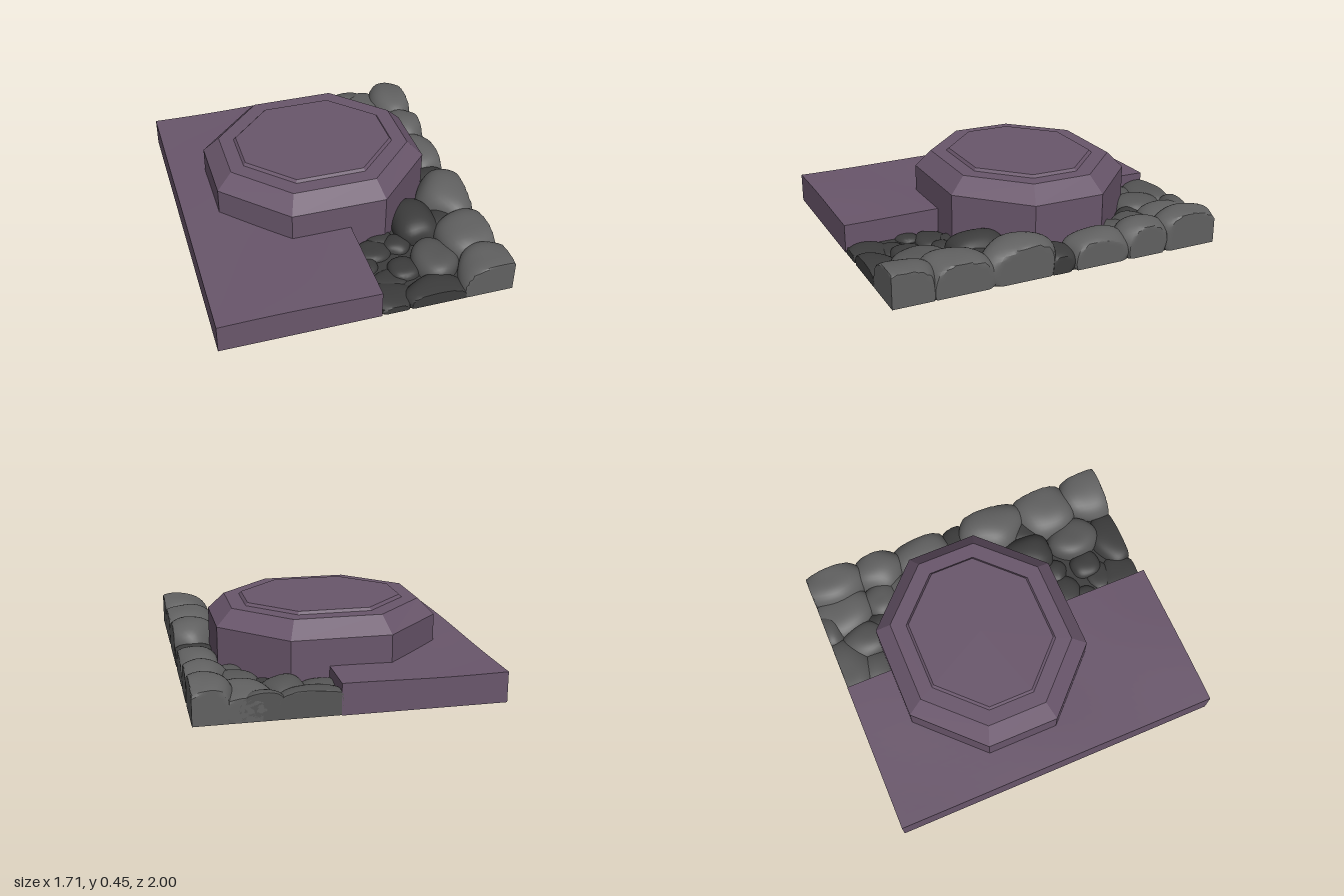
import * as THREE from 'three';
import { toCreasedNormals } from 'three/addons/utils/BufferGeometryUtils.js';

const colour = (name, hex) => {
  const m = new THREE.MeshStandardMaterial({ color: hex });
  m.name = name;
  return m;
};

// Stacked octagon rings [y, halfX, halfZ, cornerX, cornerZ], capped and faceted
function octagonStack(rings) {
  const loops = rings.map(([y, hx, hz, cx, cz]) => [
    [hx, cz], [hx, -cz], [cx, -hz], [-cx, -hz], [-hx, -cz], [-hx, cz], [-cx, hz], [cx, hz],
  ].map(([x, z]) => [x, y, z]));
  const tris = [];
  const last = loops.length - 1;
  for (let i = 0; i < 8; i++) {
    const j = (i + 1) % 8;
    for (let k = 0; k < last; k++) {
      const lo = loops[k], up = loops[k + 1];
      tris.push(lo[i], lo[j], up[j], lo[i], up[j], up[i]);
    }
    tris.push([0, rings[last][0], 0], loops[last][i], loops[last][j]);
    tris.push([0, rings[0][0], 0], loops[0][j], loops[0][i]);
  }
  const g = new THREE.BufferGeometry();
  g.setAttribute('position', new THREE.Float32BufferAttribute(tris.flat(), 3));
  g.computeVertexNormals();
  return g;
}

// Paving slab with a gently uneven top
function slabGeometry() {
  const g = new THREE.BoxGeometry(0.925, 0.175, 2, 14, 1, 28);
  g.translate(-0.3925, 0.0875, 0);
  const p = g.attributes.position;
  for (let i = 0; i < p.count; i++) {
    if (p.getY(i) < 0.1) continue;
    const x = p.getX(i), z = p.getZ(i);
    p.setY(i, 0.175 + 0.005 * Math.sin(5 * x + 2.6 + 1.5 * z) * Math.cos(3.5 * z - 3.4));
  }
  return toCreasedNormals(g, 0.6);
}

// Boulder: a squarish lumpy ball, cut off flat at the edges of the base
function rockGeometry(x, z, rx, rz, h, seed) {
  const g = new THREE.IcosahedronGeometry(1, 7);
  const p = g.attributes.position;
  const v = new THREE.Vector3();
  const cy = h * 0.3;
  const turn = seed * 2.4;
  for (let i = 0; i < p.count; i++) {
    v.fromBufferAttribute(p, i).normalize();
    const c = Math.cos(turn), s = Math.sin(turn);
    const a = v.x * c - v.z * s, b = v.x * s + v.z * c;
    const square = Math.pow(Math.abs(a) ** 2.8 + Math.abs(v.y) ** 2.8 + Math.abs(b) ** 2.8, -1 / 2.8);
    const lump = 1 + 0.05 * Math.sin(3 * a + seed) * Math.cos(2.5 * b + 2 * seed) + 0.03 * Math.sin(4 * v.y + 3 * a + seed);
    const r = (0.35 + 0.65 * square) * lump;
    p.setXYZ(i,
      THREE.MathUtils.clamp(x + v.x * r * rx, 0.06, 0.855),
      Math.max(0.003, cy + v.y * r * (h - cy) * 0.97),
      THREE.MathUtils.clamp(z + v.z * r * rz, -1, 1));
  }
  return toCreasedNormals(g, 0.55);
}

export function createModel() {
  const group = new THREE.Group();
  const purple = colour('purple stone', 0x69566b);
  const grey = colour('grey rock', 0x616161);
  const mid = colour('shaded grey rock', 0x555555);
  const dark = colour('dark rock', 0x3c3c3c);

  const add = (name, geometry, material) => {
    const mesh = new THREE.Mesh(geometry, material);
    mesh.name = name;
    group.add(mesh);
    return mesh;
  };

  add('slab', slabGeometry(), purple);

  // Bevelled platform with a slightly raised top plate
  add('platform', octagonStack([
    [0, 0.643, 0.57, 0.285, 0.215],
    [0.335, 0.643, 0.57, 0.285, 0.215],
    [0.43, 0.55, 0.48, 0.25, 0.18],
    [0.43, 0.465, 0.393, 0.21, 0.14],
    [0.446, 0.452, 0.38, 0.203, 0.133],
  ]), purple).position.z = -0.145;

  // Dark ground between the rocks
  const ground = new THREE.BoxGeometry(0.77, 0.025, 1.98);
  ground.translate(0.455, 0.018, 0);
  add('ground', ground, dark);

  // Rocks: x, z, radius x, radius z, height
  const rocks = [
    [grey, [
      [0.77, -0.86, 0.15, 0.22, 0.23], [0.57, -0.85, 0.16, 0.19, 0.17],
      [0.76, -0.55, 0.15, 0.16, 0.205], [0.76, -0.25, 0.14, 0.2, 0.18],
      [0.75, 0.23, 0.18, 0.22, 0.225], [0.74, 0.6, 0.19, 0.2, 0.205],
      [0.76, 0.92, 0.2, 0.19, 0.21],
    ]],
    [mid, [
      [0.22, -0.96, 0.2, 0.15, 0.16], [0.14, -0.78, 0.13, 0.13, 0.13],
      [0.34, -0.79, 0.13, 0.15, 0.16], [0.48, -0.98, 0.13, 0.1, 0.16],
      [0.57, -0.6, 0.12, 0.13, 0.15], [0.6, -0.46, 0.1, 0.11, 0.14],
      [0.49, 0.7, 0.13, 0.16, 0.14],
    ]],
    [dark, [
      [0.43, -0.68, 0.08, 0.09, 0.12], [0.74, 0, 0.13, 0.12, 0.13],
      [0.49, 0.37, 0.14, 0.18, 0.175], [0.41, 0.95, 0.18, 0.14, 0.09],
      [0.3, 0.71, 0.09, 0.1, 0.08], [0.17, 0.52, 0.11, 0.09, 0.07],
      [0.1, 0.63, 0.07, 0.07, 0.06], [0.33, 0.5, 0.08, 0.08, 0.08],
      [0.25, 0.42, 0.09, 0.08, 0.07], [0.16, 0.9, 0.12, 0.13, 0.055],
      [0.2, 0.76, 0.1, 0.08, 0.05], [0.65, 0.42, 0.1, 0.12, 0.14],
    ]],
  ];
  let seed = 1;
  for (const [material, list] of rocks) {
    for (const rock of list) add('rock', rockGeometry(...rock, seed++), material);
  }
  return group;
}
